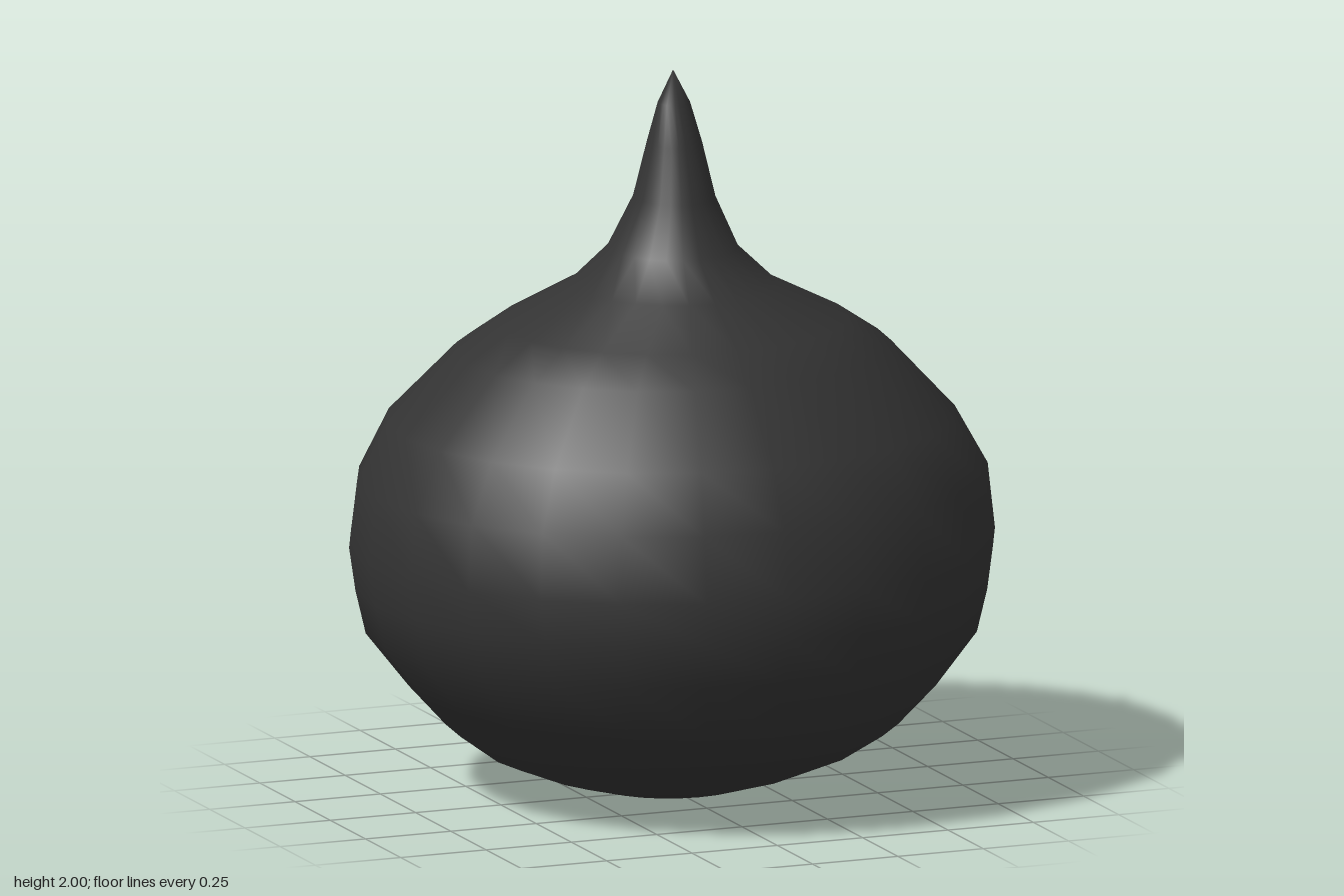
import * as THREE from 'three';
import { mergeVertices } from 'three/addons/utils/BufferGeometryUtils.js';

// Cross-sections from base to tip: [height, half width, front depth, back depth]
const RINGS = [
  [0, 0, 0, 0],
  [0.02, 0.21, 0.2, 0.18],
  [0.06, 0.36, 0.33, 0.32],
  [0.12, 0.51, 0.47, 0.46],
  [0.2, 0.62, 0.61, 0.6],
  [0.31, 0.72, 0.72, 0.71],
  [0.46, 0.84, 0.805, 0.8],
  [0.58, 0.868, 0.835, 0.83],
  [0.7, 0.887, 0.837, 0.832],
  [0.88, 0.868, 0.805, 0.797],
  [1.04, 0.78, 0.725, 0.735],
  [1.23, 0.6, 0.56, 0.545],
  [1.31, 0.48, 0.465, 0.44],
  [1.41, 0.28, 0.31, 0.28],
  [1.51, 0.175, 0.2, 0.18],
  [1.65, 0.11, 0.145, 0.105],
  [1.8, 0.075, 0.1, 0.06],
  [1.91, 0.045, 0.055, 0.025],
  [2, 0, 0.01, -0.01],
];
const SIDES = 24;

// Unit-radius lathe whose rings are reshaped into lopsided ovals
function dropGeometry() {
  const profile = RINGS.map(([y]) => new THREE.Vector2(1, y));
  const geometry = new THREE.LatheGeometry(profile, SIDES);
  const p = geometry.attributes.position;
  for (let i = 0; i < p.count; i++) {
    const [, width, front, back] = RINGS[i % RINGS.length];
    const c = p.getZ(i);
    // Offset and radius of the oval along z
    const z = (front - back) / 2 + (c * (front + back)) / 2;
    p.setX(i, p.getX(i) * width);
    p.setZ(i, z);
  }
  // Weld seam and poles so the shading stays smooth all round
  geometry.deleteAttribute('uv');
  geometry.deleteAttribute('normal');
  const welded = mergeVertices(geometry, 1e-4);
  welded.computeVertexNormals();
  return welded;
}

export function createModel() {
  const group = new THREE.Group();
  group.name = 'drop';

  // Round bulb drawn up into a pointed tip
  const material = new THREE.MeshStandardMaterial({ color: 0x333333 });
  const body = new THREE.Mesh(dropGeometry(), material);
  body.name = 'bulbWithTip';
  group.add(body);

  return group;
}
